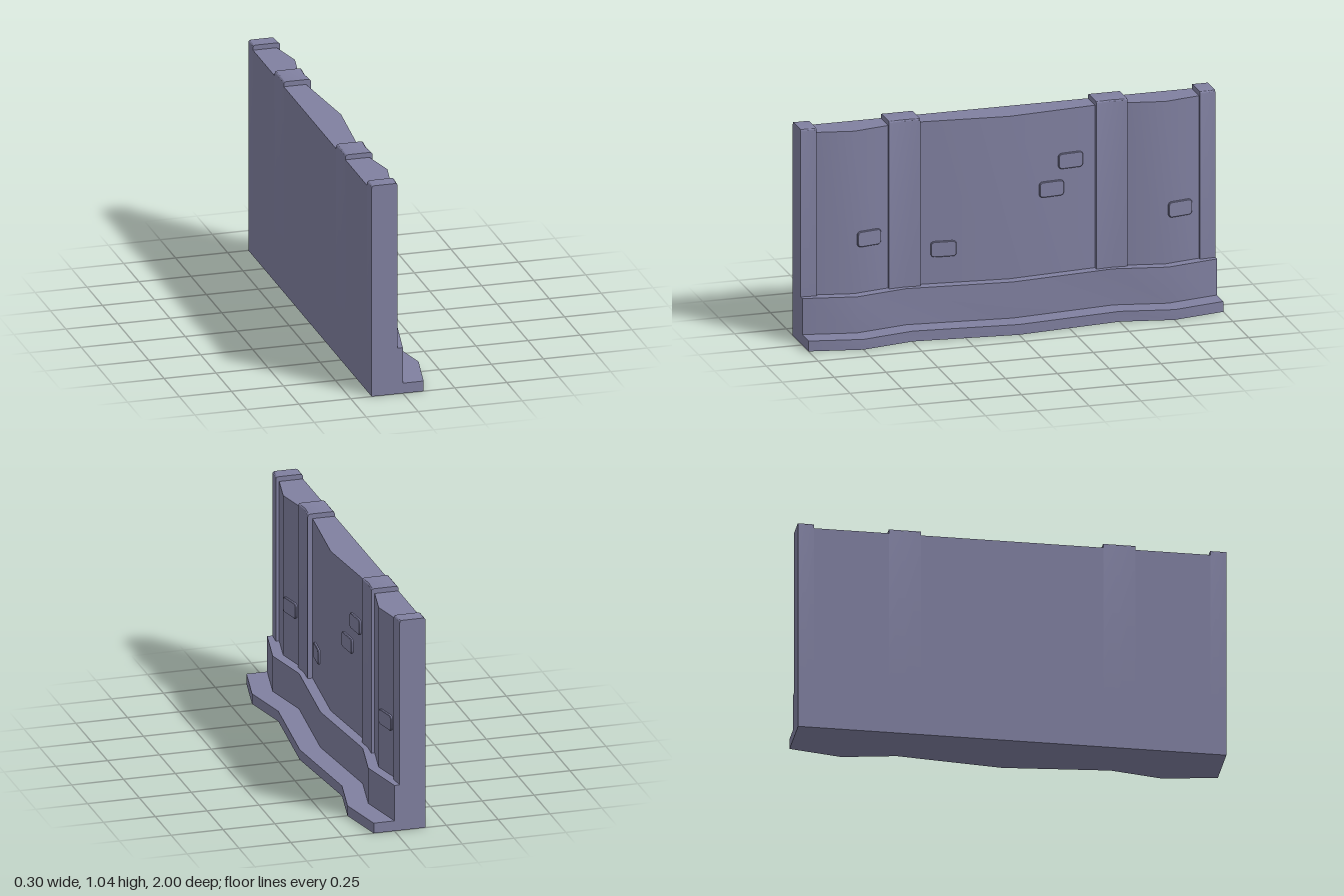
import * as THREE from 'three';
import { toCreasedNormals } from 'three/addons/utils/BufferGeometryUtils.js';

const BACK = -0.15;
const CREASE = 0.5;

// Wavy front line of the base as [z, x]; the upper tiers are set back from it
const WAVE = [[-1, 0.1], [-0.75, 0.15], [-0.5, 0.1], [0, 0.15], [0.5, 0.1], [0.75, 0.15], [1, 0.1]];

function waveAt(z) {
  let i = 1;
  while (i < WAVE.length - 1 && WAVE[i][0] < z) i++;
  const [z0, x0] = WAVE[i - 1];
  const [z1, x1] = WAVE[i];
  return { x: x0 + ((x1 - x0) * (z - z0)) / (z1 - z0), slope: (x1 - x0) / (z1 - z0) };
}

// Slab between two z values whose front follows the wave
function tier(z0, z1, y0, y1, setback) {
  const zs = [z0, ...WAVE.map((p) => p[0]).filter((z) => z > z0 && z < z1), z1];
  const shape = new THREE.Shape();
  shape.moveTo(BACK, -z0);
  shape.lineTo(BACK, -z1);
  for (const z of zs.reverse()) shape.lineTo(waveAt(z).x - setback, -z);
  const geo = new THREE.ExtrudeGeometry(shape, { depth: y1 - y0, bevelEnabled: false });
  geo.rotateX(-Math.PI / 2).translate(0, y0, 0);
  return toCreasedNormals(geo, CREASE);
}

// Pillar with rounded top edges and a slightly hollowed front
function pillar(z0, z1, centre) {
  const front = -0.025, top = 1.037, r = 0.014;
  const shape = new THREE.Shape();
  shape.moveTo(BACK, 0.225);
  shape.lineTo(front, 0.225);
  shape.lineTo(front, top - r);
  shape.quadraticCurveTo(front, top, front - r, top);
  shape.lineTo(BACK + r, top);
  shape.quadraticCurveTo(BACK, top, BACK, top - r);
  const geo = new THREE.ExtrudeGeometry(shape, {
    depth: z1 - z0, steps: 2, curveSegments: 3, bevelEnabled: false,
  });
  geo.translate(0, 0, z0);
  const pos = geo.attributes.position;
  for (let i = 0; i < pos.count; i++) {
    if (pos.getX(i) > -0.08) pos.setX(i, pos.getX(i) + 0.08 * Math.abs(pos.getZ(i) - centre));
  }
  return toCreasedNormals(geo, CREASE);
}

// Rounded brick plate with a small bevel, facing +z
function brick() {
  const w = 0.058, h = 0.0345, r = 0.016;
  const shape = new THREE.Shape();
  shape.moveTo(-w + r, -h);
  shape.lineTo(w - r, -h);
  shape.quadraticCurveTo(w, -h, w, -h + r);
  shape.lineTo(w, h - r);
  shape.quadraticCurveTo(w, h, w - r, h);
  shape.lineTo(-w + r, h);
  shape.quadraticCurveTo(-w, h, -w, h - r);
  shape.lineTo(-w, -h + r);
  shape.quadraticCurveTo(-w, -h, -w + r, -h);
  const geo = new THREE.ExtrudeGeometry(shape, {
    depth: 0.01, curveSegments: 4, bevelThickness: 0.003, bevelSize: 0.003, bevelSegments: 1,
  });
  geo.translate(0, 0, -0.003);
  return toCreasedNormals(geo, CREASE);
}

export function createModel() {
  const group = new THREE.Group();
  const stone = new THREE.MeshStandardMaterial({ color: 0x8080a0 });
  stone.name = 'slate stone';
  const add = (name, geo) => {
    const mesh = new THREE.Mesh(geo, stone);
    mesh.name = name;
    group.add(mesh);
    return mesh;
  };

  // Stepped footing
  add('baseStep', tier(-1, 1, 0, 0.05, 0));
  add('plinth', tier(-1, 1, 0.05, 0.225, 0.1));

  // Wall panels between the pillars
  for (const [a, b] of [[-0.925, -0.575], [-0.425, 0.425], [0.575, 0.925]]) {
    add('wallPanel', tier(a, b, 0.225, 1.013, 0.15));
  }

  // Half pillars at the ends, full pillars between
  for (const [a, b, c] of [[-1, -0.925, -1], [-0.575, -0.425, -0.5], [0.425, 0.575, 0.5], [0.925, 1, 1]]) {
    add('pillar', pillar(a, b, c));
  }

  // Scattered bricks lying on the slanted wall faces
  const brickGeo = brick();
  for (const [z, y] of [[0.675, 0.485], [0.31, 0.392], [-0.207, 0.637], [-0.302, 0.764], [-0.825, 0.485]]) {
    const { x, slope } = waveAt(z);
    const mesh = add('brick', brickGeo);
    mesh.position.set(x - 0.15, y, z);
    mesh.rotation.y = Math.PI / 2 + Math.atan(slope);
  }
  return group;
}
